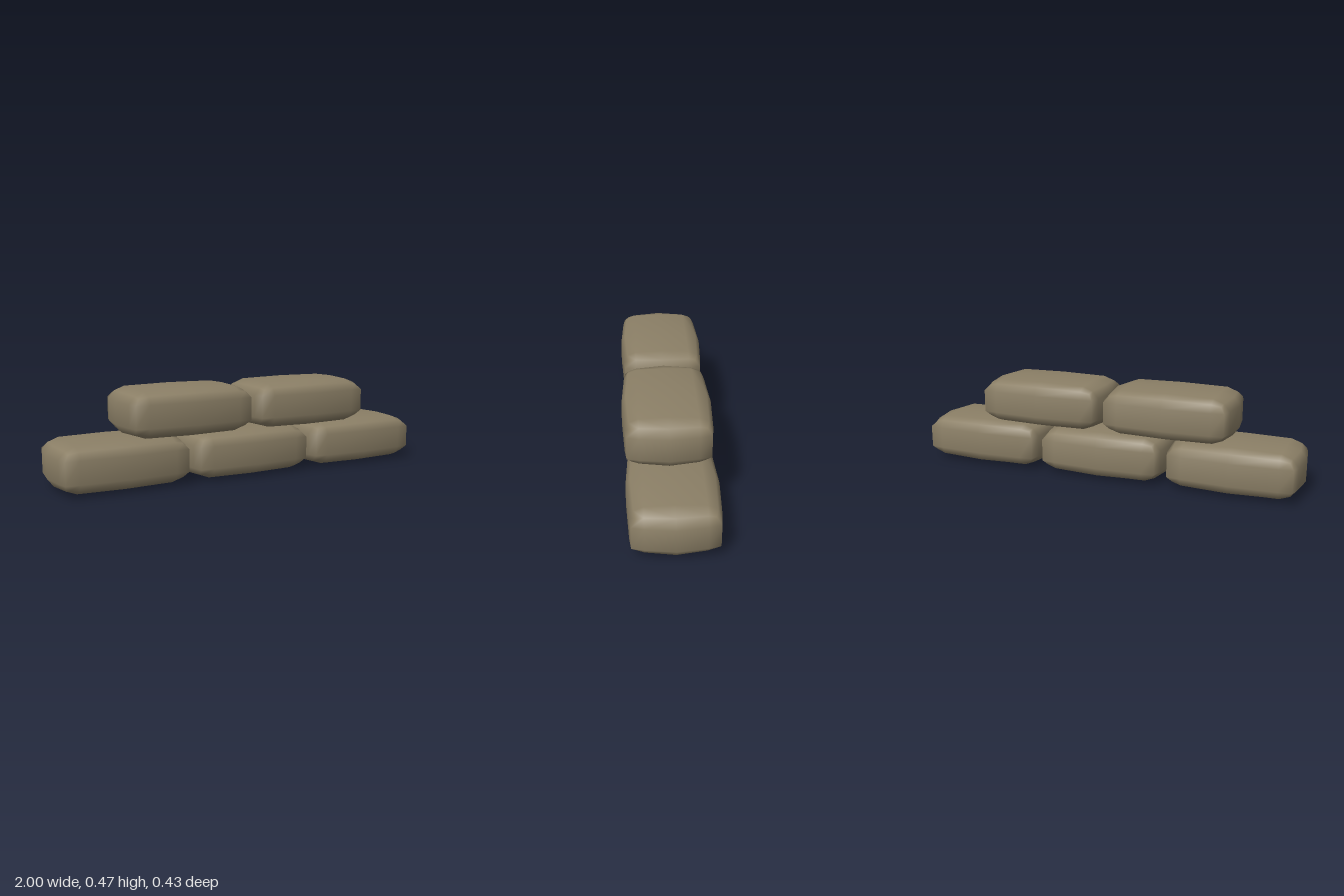
import * as THREE from 'three';
import { mergeVertices } from 'three/addons/utils/BufferGeometryUtils.js';

// Half extents of a bag, by how many box faces meet at the vertex (1 face, 2 edge, 3 corner)
const X = [0, 0.333, 0.302, 0.28];
const Y = [0, 0.119, 0.096, 0.082];
const Z = [0, 0.21, 0.19, 0.168];

// A coarse box with its edges and corners pulled in, and slightly bulging faces
function makeBagGeometry() {
  let geo = new THREE.BoxGeometry(2, 2, 2, 4, 3, 4);
  geo.deleteAttribute('uv');
  geo.deleteAttribute('normal');
  geo = mergeVertices(geo, 1e-4);
  const p = geo.attributes.position;
  const isEnd = (v) => Math.abs(v) > 0.99;
  for (let i = 0; i < p.count; i++) {
    const a = p.getX(i), b = p.getY(i), c = p.getZ(i);
    const n = [a, b, c].filter(isEnd).length;
    const offX = Math.abs(a) === 0.5, offZ = Math.abs(c) === 0.5;
    const x = isEnd(a) ? Math.sign(a) * (X[n] - (offZ ? 0.017 : 0)) : a * 0.47;
    const y = isEnd(b) ? Math.sign(b) * (Y[n] - (offZ ? 0.005 : 0) - (offX ? 0.004 : 0)) : b * 0.165;
    const z = isEnd(c) ? Math.sign(c) * (Z[n] - (offX ? 0.012 : 0)) : c * 0.27;
    p.setXYZ(i, x, y, z);
  }
  geo.computeVertexNormals();
  return geo;
}

export function createModel() {
  const group = new THREE.Group();
  group.name = 'sandbagWall';
  const burlap = new THREE.MeshStandardMaterial({ color: 0x8b7f66 });
  burlap.name = 'burlap';
  const bag = makeBagGeometry();

  // Staggered rows: three bags below, two above
  const rows = [
    { name: 'lowerBag', count: 3, y: 0.122, z: -0.005 },
    { name: 'upperBag', count: 2, y: 0.349, z: 0.007 },
  ];
  for (const row of rows) {
    for (let i = 0; i < row.count; i++) {
      const mesh = new THREE.Mesh(bag, burlap);
      mesh.name = row.name + (i + 1);
      mesh.position.set((i - (row.count - 1) / 2) * 0.667, row.y, row.z);
      group.add(mesh);
    }
  }
  return group;
}
